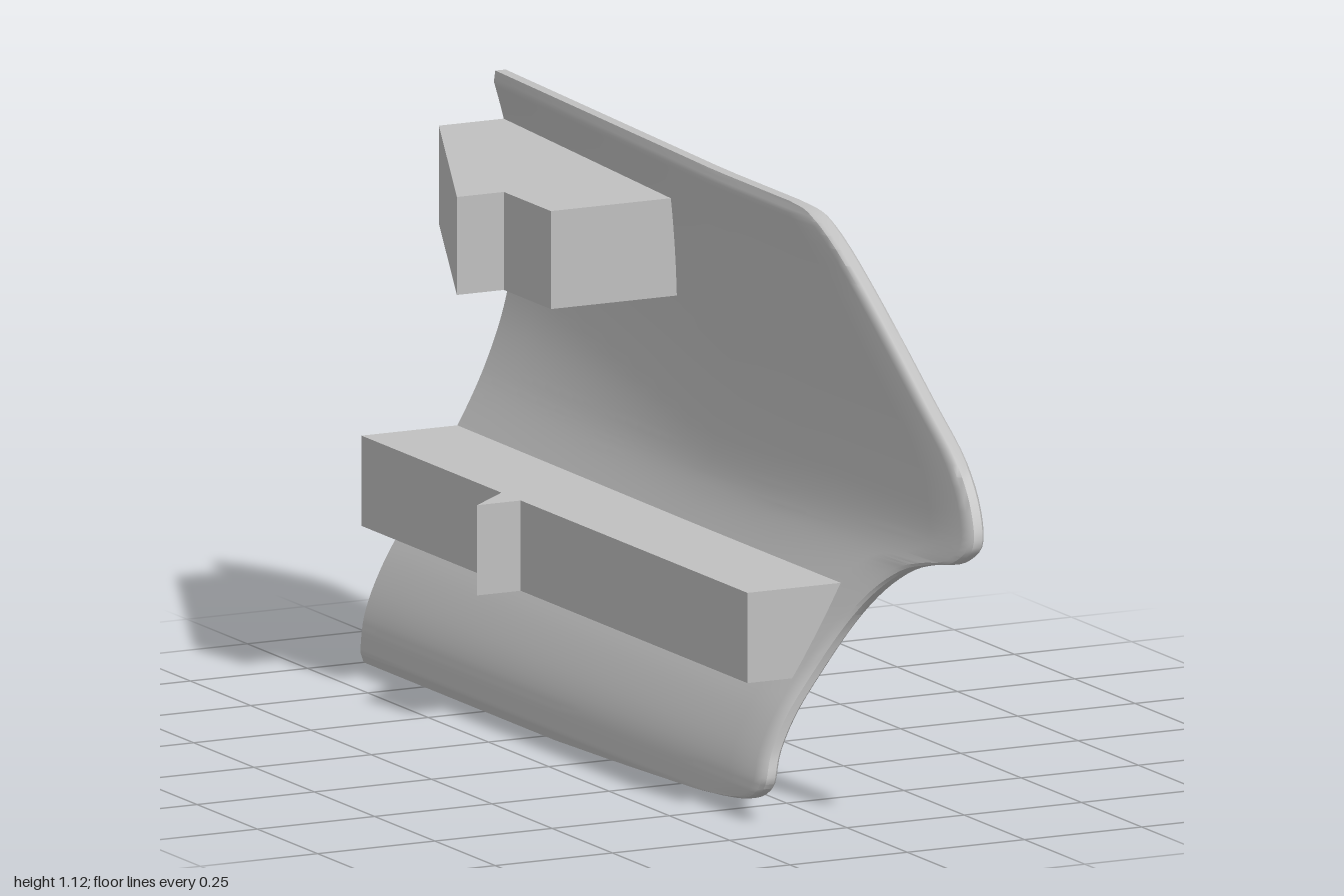
import * as THREE from 'three';
import { toCreasedNormals } from 'three/addons/utils/BufferGeometryUtils.js';

const grey = new THREE.MeshStandardMaterial({ color: 0xc0c0c0 });
grey.name = 'light grey';

// Smooth curve through [y, x] pairs
function curve(pairs) {
  const f = new THREE.CubicInterpolant(
    new Float32Array(pairs.map(p => p[0])), new Float32Array(pairs.map(p => p[1])), 1);
  return y => f.evaluate(y)[0];
}

// Outer surface: x by height, at the rear end and along the front half
const rearX = curve([[0, -0.1], [0.1, -0.088], [0.2, -0.045], [0.3, 0.02], [0.42, 0.095],
  [0.55, 0.165], [0.68, 0.212], [0.83, 0.233], [1, 0.215], [1.13, 0.18]]);
const foreX = curve([[0, -0.1], [0.1, -0.088], [0.2, -0.045], [0.3, 0.02], [0.42, 0.09],
  [0.52, 0.135], [0.6, 0.152], [0.72, 0.16], [0.85, 0.157], [1, 0.15], [1.13, 0.138]]);

// Free edge of the shell, from the underside round the notch and nose to the top: [z, y]
const outline = [[-0.2, 0.005], [0.15, 0.016], [0.5, 0.032], [0.61, 0.05], [0.648, 0.08],
  [0.638, 0.14], [0.637, 0.22], [0.645, 0.3], [0.67, 0.38], [0.72, 0.45], [0.79, 0.5],
  [0.88, 0.527], [0.96, 0.545], [1, 0.58], [0.98, 0.645], [0.92, 0.725], [0.8, 0.82],
  [0.6, 0.98], [0.46, 1.085], [0.39, 1.117], [0.31, 1.125]];

function outerX(y, z) {
  const w = THREE.MathUtils.clamp(-z, 0, 1);
  const nose = 0.02 * Math.max(0, (z - 0.3) / 0.7) * THREE.MathUtils.smoothstep(y, 0.4, 0.6);
  return THREE.MathUtils.lerp(foreX(y), rearX(y), w) + nose;
}

// Curved shell: rings of outer and inner points stacked by height
function shellGeometry() {
  const rows = new THREE.CatmullRomCurve3(
    outline.map(([z, y]) => new THREE.Vector3(0, y, z)), false, 'centripetal').getPoints(80);
  const thickness = 0.04, cols = 18, ring = 2 * (cols + 1);
  const pos = [], index = [];
  for (const { y, z: zMax } of rows) {
    const rim = Math.min(y - 0.005, 1.125 - y);
    const rimScale = Math.min(1, 0.55 + Math.max(0, rim) * 22);
    const point = (j, side) => {
      const left = cols - j; // the last columns round off the front edge
      const z = left > 2 ? THREE.MathUtils.lerp(-1, zMax - 0.03, j / (cols - 2))
        : zMax - [0, 0.008, 0.03][left];
      const half = 0.5 * thickness * Math.min(rimScale, left > 1 ? 1 : [0.45, 0.8][left]);
      pos.push(outerX(y, z) - thickness / 2 + side * half, y, z);
    };
    for (let j = 0; j <= cols; j++) point(j, 1);
    for (let j = cols; j >= 0; j--) point(j, -1);
  }
  const last = rows.length - 1;
  for (let i = 0; i < last; i++) {
    for (let j = 0; j < ring; j++) {
      const a = i * ring + j, b = i * ring + (j + 1) % ring;
      index.push(a, a + ring, b, b, a + ring, b + ring);
    }
  }
  // Close the lower and upper rims
  const top = last * ring;
  for (let j = 0; j < cols; j++) {
    const o = j, p = j + 1, n = ring - 1 - j, m = ring - 2 - j;
    index.push(top + o, top + n, top + p, top + p, top + n, top + m);
    index.push(o, p, n, p, m, n);
  }
  const g = new THREE.BufferGeometry();
  g.setAttribute('position', new THREE.Float32BufferAttribute(pos, 3));
  g.setIndex(index);
  return toCreasedNormals(g, 0.7);
}

// Flat bar from a plan outline of [x, z] points, between two heights
function barGeometry(plan, y0, y1) {
  const shape = new THREE.Shape(plan.map(([x, z]) => new THREE.Vector2(x, -z)));
  const g = new THREE.ExtrudeGeometry(shape, { depth: y1 - y0, bevelEnabled: false });
  return g.rotateX(-Math.PI / 2).translate(0, y0, 0);
}

export function createModel() {
  const model = new THREE.Group();
  model.name = 'curvedCoverPanel';
  const add = (name, geometry) => {
    const mesh = new THREE.Mesh(geometry, grey);
    mesh.name = name;
    model.add(mesh);
  };

  add('shell', shellGeometry());

  // Upper clip: a wedge ending in a hook
  add('upperClip', barGeometry([[0.19, -1], [0.03, -1], [-0.235, -0.41], [-0.135, -0.41],
    [-0.135, -0.215], [0.135, -0.215]], 0.84, 1.03));

  // Lower rail with a small hook; its inner side leans to follow the shell
  const rail = barGeometry([[0.07, -1], [-0.135, -1], [-0.135, -0.42], [-0.228, -0.34],
    [-0.135, -0.34], [-0.135, 0.6], [0.07, 0.6]], 0.27, 0.445);
  const p = rail.attributes.position;
  for (let i = 0; i < p.count; i++) {
    if (p.getX(i) > 0 && p.getY(i) < 0.3) p.setX(i, -0.035);
  }
  rail.computeVertexNormals();
  add('lowerRail', rail);

  return model;
}
